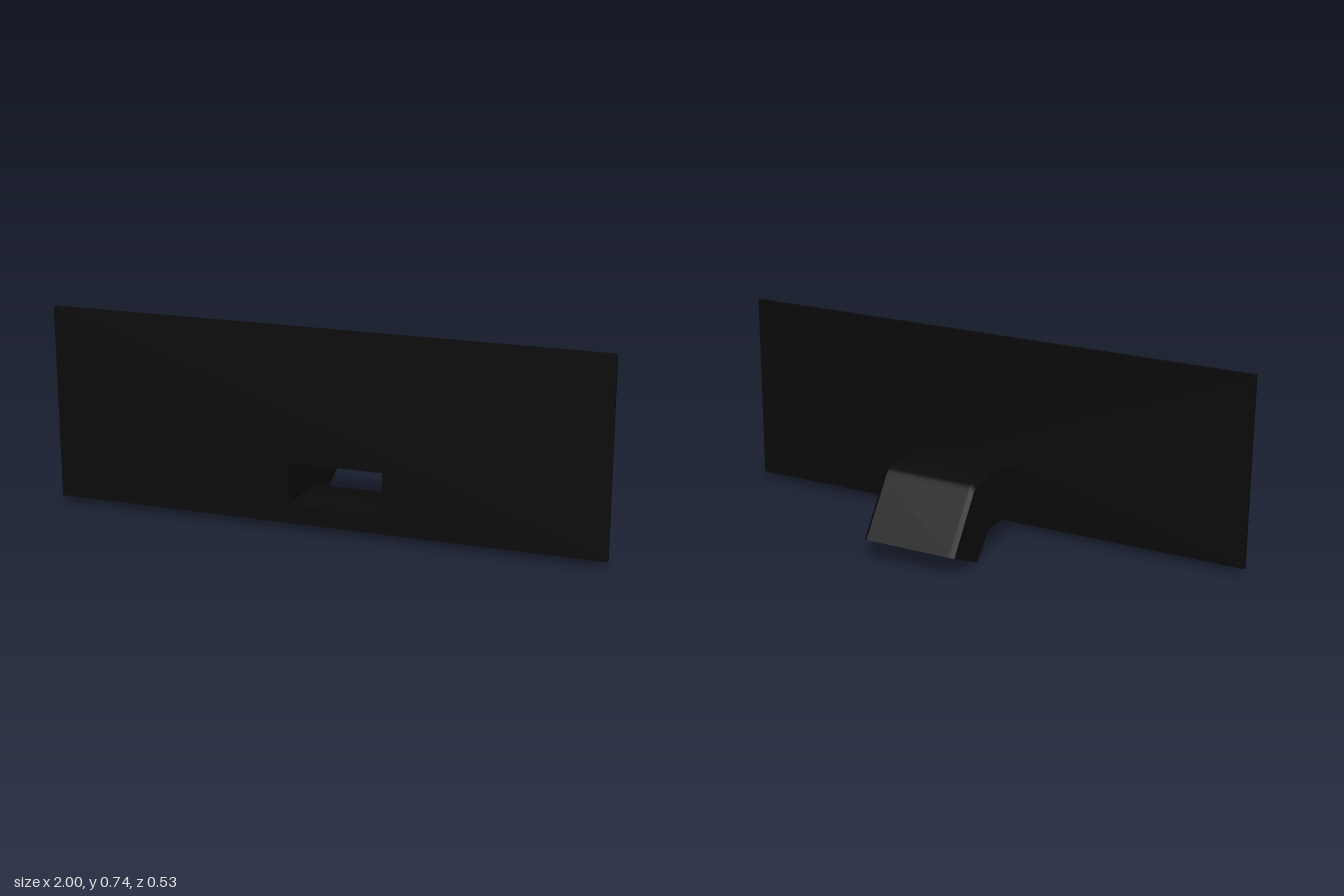
import * as THREE from 'three';
import { toCreasedNormals } from 'three/addons/utils/BufferGeometryUtils.js';

const CENTRE_X = 0.05;

// Stations along the duct: floor z, floor y, roof z, roof y
const STATIONS = [
  [0.253, 0.088, 0.253, 0.266],
  [0.115, 0.088, 0.115, 0.313],
  [0.03, 0.088, -0.085, 0.31],
  [0.018, 0.087, -0.1, 0.307],
  [0.006, 0.082, -0.112, 0.3],
  [-0.004, 0.074, -0.122, 0.288],
  [-0.07, 0.002, -0.265, 0.092],
];

// Chamfered rectangular section at one station, inset by the wall thickness
function section([bz, by, tz, ty], inset, c) {
  const length = Math.hypot(tz - bz, ty - by);
  const w = 0.18 - inset, lo = inset, hi = length - inset;
  const ring = [
    [-w + c, lo], [w - c, lo], [w, lo + c], [w, hi - c],
    [w - c, hi], [-w + c, hi], [-w, hi - c], [-w, lo + c],
  ];
  return ring.map(([x, v]) => [
    CENTRE_X + x,
    by + (ty - by) * v / length,
    bz + (tz - bz) * v / length,
  ]);
}

// Outer skin out, inner skin back, rows closed so both open ends get rims
function ductGeometry() {
  const rows = [
    ...STATIONS.map((s) => section(s, 0, 0.015)),
    ...STATIONS.map((s) => section(s, 0.01, 0.002)).reverse(),
  ];
  const n = rows[0].length;
  const index = [];
  for (let i = 0; i < rows.length; i++) {
    const next = (i + 1) % rows.length;
    for (let j = 0; j < n; j++) {
      const k = (j + 1) % n;
      const a = i * n + j, b = next * n + j, c = next * n + k, d = i * n + k;
      index.push(a, b, c, a, c, d);
    }
  }
  const geometry = new THREE.BufferGeometry();
  geometry.setAttribute('position', new THREE.Float32BufferAttribute(rows.flat(2), 3));
  geometry.setIndex(index);
  return toCreasedNormals(geometry, 0.5);
}

function rectangle(PathType, x0, y0, x1, y1) {
  return new PathType([[x0, y0], [x1, y0], [x1, y1], [x0, y1]].map((p) => new THREE.Vector2(...p)));
}

export function createModel() {
  const group = new THREE.Group();
  const material = new THREE.MeshStandardMaterial({ color: 0x0a0a0a });

  // Thin wide panel with the duct opening cut through
  const shape = rectangle(THREE.Shape, -1, 0.035, 1, 0.74);
  shape.holes.push(rectangle(THREE.Path, CENTRE_X - 0.17, 0.098, CENTRE_X + 0.17, 0.256));
  const panel = new THREE.Mesh(
    new THREE.ExtrudeGeometry(shape, { depth: 0.014, bevelEnabled: false }), material);
  panel.position.z = 0.253;
  panel.name = 'panel';

  // Hollow duct bending downward behind the panel
  const duct = new THREE.Mesh(ductGeometry(), material);
  duct.name = 'duct';

  group.add(panel, duct);
  return group;
}
